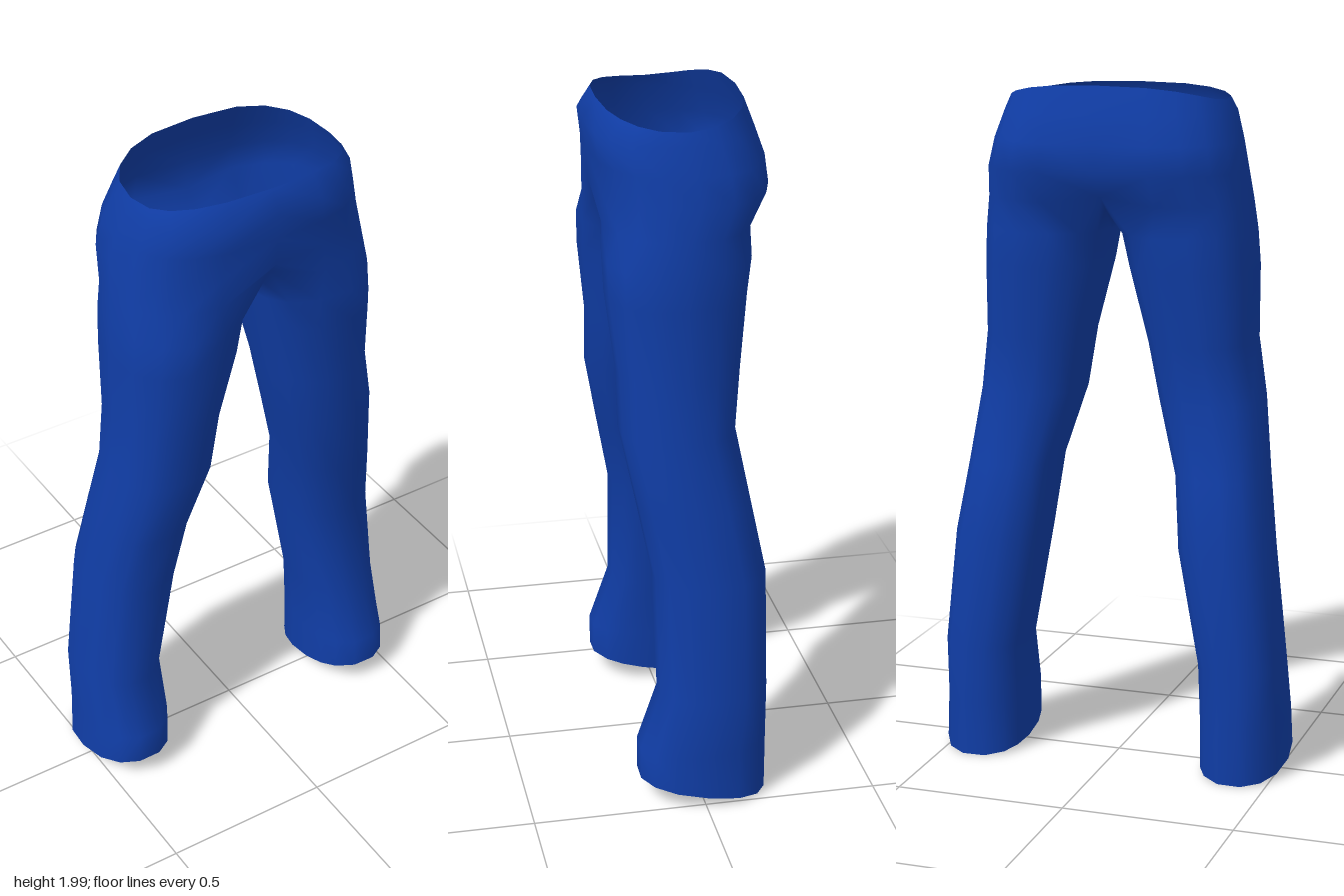
import * as THREE from 'three';
import { mergeVertices } from 'three/addons/utils/BufferGeometryUtils.js';

const OUTER = 11; // points from front centre round the hip to back centre
const INNER = 4;  // points along the inside of the leg
const power = (v, p) => Math.sign(v) * Math.pow(Math.abs(v), p);

// half sections of the seat: y, half width, front z, back z, centre crease at back
const SEAT = [
  [1.955, 0.313, 0.212, -0.182, 0],
  [1.92, 0.33, 0.25, -0.212, 0],
  [1.84, 0.355, 0.24, -0.24, 0.015],
  [1.76, 0.372, 0.237, -0.25, 0.035],
  [1.67, 0.385, 0.235, -0.2, 0.03],
];
// crotch seam from front to back: y, z
const SEAM = [[1.72, 0.205], [1.66, 0.12], [1.62, 0.03], [1.62, -0.05], [1.65, -0.12], [1.69, -0.165]];
// leg sections: y, inner x, outer x, back z, front z, rise of the front edge
const LEG = [
  [1.58, 0.015, 0.395, -0.178, 0.233, 0],
  [1.48, 0.035, 0.402, -0.163, 0.23, 0],
  [1.27, 0.09, 0.402, -0.14, 0.207, 0],
  [1.1, 0.12, 0.425, -0.122, 0.205, 0],
  [0.89, 0.183, 0.45, -0.16, 0.165, 0],
  [0.68, 0.205, 0.48, -0.2, 0.125, 0],
  [0.34, 0.268, 0.516, -0.196, 0.12, 0],
  [0.17, 0.27, 0.52, -0.194, 0.18, 0],
  [0.04, 0.27, 0.526, -0.192, 0.18, 0.035],
];

function seatRing([y, w, zf, zb, crease], row) {
  const ring = [];
  for (let j = 0; j < OUTER; j++) {
    const a = Math.PI * (0.5 - j / (OUTER - 1));
    const end = j === 0 || j === OUTER - 1;
    const s = power(Math.sin(a), 0.8);
    const x = end ? 0 : w * Math.pow(Math.cos(a), 0.72);
    let z = (zf + zb) / 2 + s * (zf - zb) / 2;
    if (j === OUTER - 1) z += crease;
    // the waist edge dips at the hips
    const lift = row === 0 ? s * s * (s > 0 ? 0.027 : 0.045) : 0;
    ring.push([x, y + lift, z]);
  }
  return ring;
}

function legRing([y, xi, xo, zb, zf, rise]) {
  const ring = [];
  for (let j = 0; j < OUTER + INNER; j++) {
    const deg = j < OUTER ? 130 - 26 * j : -130 - 20 * (j - OUTER + 1);
    const a = THREE.MathUtils.degToRad(deg);
    const c = power(Math.cos(a), 0.88), s = power(Math.sin(a), 0.88);
    ring.push([(xi + xo) / 2 + c * (xo - xi) / 2, y + s * rise, (zf + zb) / 2 + s * (zf - zb) / 2]);
  }
  return ring;
}

function trouserGeometry() {
  const rings = SEAT.map(seatRing);
  // close the lowest seat section along the crotch seam
  const join = rings[rings.length - 1];
  const seam = SEAM.map(([y, z]) => [0, y, z]);
  join[0] = seam[0];
  join[OUTER - 1] = seam[seam.length - 1];
  for (let k = INNER; k >= 1; k--) join.push(seam[k]);
  rings.push(...LEG.map(legRing));

  const pos = [];
  for (const side of [1, -1]) {
    const tri = (...p) => {
      if (side < 0) p.reverse();
      for (const [x, y, z] of p) pos.push(side * x, y, z);
    };
    for (let i = 0; i < rings.length - 1; i++) {
      const up = rings[i], low = rings[i + 1];
      const closed = i >= SEAT.length - 1;
      const count = closed ? OUTER + INNER : OUTER - 1;
      for (let j = 0; j < count; j++) {
        const k = (j + 1) % (OUTER + INNER);
        tri(up[j], low[j], low[k]);
        tri(up[j], low[k], up[k]);
      }
    }
  }
  const geo = new THREE.BufferGeometry();
  geo.setAttribute('position', new THREE.Float32BufferAttribute(pos, 3));
  const smooth = mergeVertices(geo, 1e-4);
  smooth.computeVertexNormals();
  return smooth;
}

export function createModel() {
  const denim = new THREE.MeshStandardMaterial({ color: 0x103da6, side: THREE.DoubleSide });
  denim.name = 'blue cloth';
  const group = new THREE.Group();
  group.name = 'trousers';
  const cloth = new THREE.Mesh(trouserGeometry(), denim);
  cloth.name = 'seatAndLegs';
  group.add(cloth);
  return group;
}
